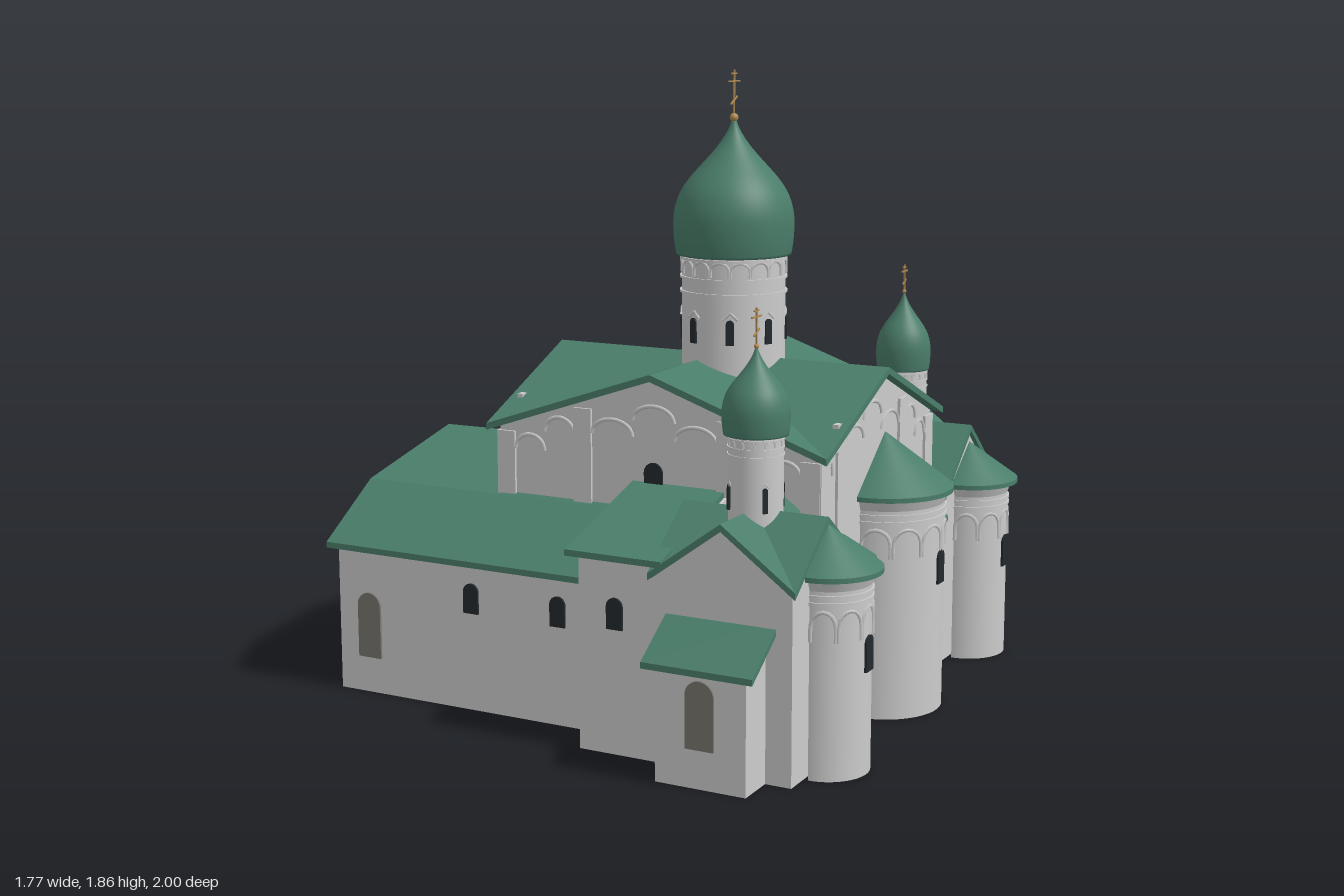
import * as THREE from 'three';

const wallMat = new THREE.MeshStandardMaterial({ color: 0xcccccc, side: THREE.DoubleSide });
const paint = (color) => new THREE.MeshStandardMaterial({ color, side: THREE.DoubleSide });
const roofMat = paint(0x4a7d6a), darkMat = paint(0x22292d), doorMat = paint(0x77746c), goldMat = paint(0xb08a50);

const V = (x, y, z) => new THREE.Vector3(x, y, z);

function add(parent, name, geo, mat = wallMat, x = 0, y = 0, z = 0) {
  const m = new THREE.Mesh(geo, mat);
  m.name = name;
  m.position.set(x, y, z);
  parent.add(m);
  return m;
}

function box(parent, name, x0, x1, y0, y1, z0, z1, mat) {
  return add(parent, name, new THREE.BoxGeometry(x1 - x0, y1 - y0, z1 - z0), mat,
    (x0 + x1) / 2, (y0 + y1) / 2, (z0 + z1) / 2);
}

// Outline given as [z, y] points, run along x from x0 to x1
function profile(parent, name, pts, x0, x1, mat) {
  const shape = new THREE.Shape(pts.map(p => new THREE.Vector2(...p)));
  const geo = new THREE.ExtrudeGeometry(shape, { depth: x1 - x0, bevelEnabled: false });
  geo.rotateY(-Math.PI / 2).translate(x1, 0, 0);
  return add(parent, name, geo, mat);
}

// Thin roof following a [z, y] line
const roofStrip = (g, name, line, x0, x1, t = 0.018) =>
  profile(g, name, [...line, ...line.map(([z, y]) => [z, y - t]).reverse()], x0, x1, roofMat);

// Wall body under a [z, y] line
const wallBody = (g, name, line, x0, x1) =>
  profile(g, name, [[line[0][0], 0], ...line, [line[line.length - 1][0], 0]], x0, x1, wallMat);

// Four gables meeting in the middle; bottom(y) gives the height of the underside
function crossGable(parent, name, cx, cz, hx, hz, eave, ridge, bottom, mat) {
  const ring = [[1, 0], [1, -1], [0, -1], [-1, -1], [-1, 0], [-1, 1], [0, 1], [1, 1]]
    .map(([a, b]) => V(cx + a * hx, a && b ? eave : ridge, cz + b * hz));
  const under = p => V(p.x, bottom(p.y), p.z);
  const top = V(cx, ridge, cz), tris = [];
  ring.forEach((a, i) => {
    const b = ring[(i + 1) % 8], la = under(a), lb = under(b);
    tris.push(top, a, b, under(top), lb, la, a, la, lb, a, lb, b);
  });
  const geo = new THREE.BufferGeometry().setFromPoints(tris);
  geo.computeVertexNormals();
  return add(parent, name, geo, mat);
}

// Arched panel for windows and doors, facing +z before turning by rot
function arch(parent, name, w, h, x, y, z, rot = 0, mat = darkMat) {
  const s = new THREE.Shape();
  s.moveTo(-w / 2, 0);
  s.lineTo(w / 2, 0);
  s.lineTo(w / 2, h - w / 2);
  s.absarc(0, h - w / 2, w / 2, 0, Math.PI);
  const geo = new THREE.ExtrudeGeometry(s, { depth: 0.01, bevelEnabled: false, curveSegments: 8 });
  add(parent, name, geo.translate(0, 0, -0.005), mat, x, y, z).rotation.y = rot;
}

function tube(parent, name, pts, r, mat = wallMat) {
  add(parent, name, new THREE.TubeGeometry(new THREE.CatmullRomCurve3(pts), 14, r, 4), mat);
}

// Row of raised arches wrapped round a cylinder, from angle 0 (+z) through span
function arcade(parent, cx, cz, r, y, h, leg, n, span, bead) {
  for (let i = 0; i < n; i++) {
    const w = span / n, pts = [];
    for (let k = 0; k <= 8; k++) {
      const a = Math.PI * k / 8, t = (i + 0.5) * w - Math.cos(a) * w * 0.46;
      pts.push(V(cx + Math.sin(t) * r, y + Math.sin(a) * h, cz + Math.cos(t) * r));
    }
    pts.unshift(pts[0].clone().setY(y - leg));
    pts.push(pts[9].clone().setY(y - leg));
    tube(parent, 'arcadeArch', pts, bead);
  }
}

// Half-round apse with a conical roof
function apse(parent, name, cx, cz, r, h, rise, over, arches, winY) {
  const g = new THREE.Group();
  g.name = name;
  parent.add(g);
  const half = (rt, rb, hh) => new THREE.CylinderGeometry(rt, rb, hh, 32, 1, false, 0, Math.PI);
  add(g, 'apseWall', half(r, r, h), wallMat, cx, h / 2, cz);
  add(g, 'apseCornice', half(r + 0.012, r, 0.03), wallMat, cx, h - 0.015, cz);
  add(g, 'apseEave', half(r + over, r + over, 0.014), roofMat, cx, h + 0.007, cz);
  add(g, 'apseRoof', half(0.001, r + over, rise), roofMat, cx, h + 0.014 + rise / 2, cz);
  for (const y of [h - 0.045, h - 0.065])
    add(g, 'apseBand', half(r + 0.005, r + 0.005, 0.009), wallMat, cx, y, cz);
  if (arches) arcade(g, cx, cz, r, h - 0.13, 0.045, 0.04, arches, Math.PI, 0.006);
  arch(g, 'apseWindow', 0.045, 0.1, cx + r, winY, cz, Math.PI / 2);
}

// Drum, onion dome and cross
function cupola(parent, name, cx, cz, r, y0, y1, R, H, crossH, windows, winY, winH) {
  const g = new THREE.Group();
  g.name = name;
  g.position.set(cx, 0, cz);
  parent.add(g);
  add(g, 'drum', new THREE.CylinderGeometry(r, r, y1 - y0, 40), wallMat, 0, (y0 + y1) / 2, 0);
  for (const d of [0.008, 0.42 * r, 0.7 * r])
    add(g, 'drumBand', new THREE.CylinderGeometry(r * 1.04, r * 1.04, 0.05 * r, 40), wallMat, 0, y1 - d, 0);
  arcade(g, 0, 0, r * 1.01, y1 - 0.24 * r, 0.16 * r, 0.12 * r, 16, Math.PI * 2, 0.028 * r);
  for (let i = 0; i < windows; i++) {
    const a = (i + 0.5) * Math.PI * 2 / windows, s = Math.sin(a), c = Math.cos(a);
    arch(g, 'drumWindow', 0.13 * r + 0.004, winH, s * r, winY, c * r, a);
    const u = 0.15 * r, top = winY + winH;
    const at = (d, y) => V(s * r + c * d, y, c * r - s * d);
    for (const e of [-1, 1]) tube(g, 'windowHood', [at(e * u, top), at(0, top + u * 0.9)], 0.03 * r);
  }
  const outline = [[0, 0], [0.95, 0], [0.985, 0.1], [1, 0.24], [0.97, 0.35], [0.88, 0.46], [0.73, 0.56],
    [0.53, 0.66], [0.33, 0.76], [0.18, 0.85], [0.08, 0.93], [0.025, 1]];
  const curve = new THREE.SplineCurve(outline.slice(1).map(([a, b]) => new THREE.Vector2(a * R, b * H)));
  add(g, 'onionDome', new THREE.LatheGeometry([new THREE.Vector2(0, 0), ...curve.getPoints(36)], 48), roofMat, 0, y1, 0);
  const tip = y1 + H;
  add(g, 'finialBall', new THREE.SphereGeometry(0.065 * R + 0.001, 16, 12), goldMat, 0, tip, 0);
  const w = 0.0045;
  box(g, 'crossPost', -w / 2, w / 2, tip, tip + crossH, -w / 2, w / 2, goldMat);
  [[0.92, 0.13, 0], [0.76, 0.27, 0], [0.36, 0.17, 0.5]].forEach(([f, l, tilt]) => {
    const bar = add(g, 'crossBar', new THREE.BoxGeometry(w, w, 2 * l * crossH), goldMat, 0, tip + f * crossH, 0);
    bar.rotation.x = tilt;
  });
}

// Cross-gabled block: walls and overhanging roof
function gabledBlock(g, name, cx, cz, hx, hz, eave, ridge, base) {
  const s = 0.94, t = 0.02;
  crossGable(g, name + 'Walls', cx, cz, hx * s, hz * s, ridge - (ridge - eave) * s - t, ridge - t, () => base, wallMat);
  crossGable(g, name + 'Roof', cx, cz, hx, hz, eave, ridge, y => y - t, roofMat);
}

// Pilasters and blind arches on one nave face, local x along the face
function naveFace(parent, rot, halfW, dist, inner) {
  const g = new THREE.Group();
  g.name = 'naveFace';
  g.position.set(0.1, 0, 0.07);
  g.rotation.y = rot;
  parent.add(g);
  const edges = [-halfW + 0.025, ...inner, halfW - 0.025];
  edges.forEach((u, i) => box(g, 'pilaster', u - 0.03, u + 0.03, 0, i % 3 ? 0.89 : 0.8, dist - 0.01, dist + 0.008));
  for (let b = 0; b < 3; b++) {
    const l = edges[b] + 0.03, w = edges[b + 1] - 0.03 - l, n = b === 1 ? 3 : 2;
    for (let i = 0; i < n; i++) {
      const pts = [], y = b === 1 ? (i === 1 ? 0.87 : 0.82) : (i === (b ? 0 : 1) ? 0.81 : 0.75);
      for (let k = 0; k <= 8; k++) {
        const a = Math.PI * k / 8;
        pts.push(V(l + w * (i + 0.5 - 0.5 * Math.cos(a)) / n, y + 0.045 * Math.sin(a), dist + 0.002));
      }
      tube(g, 'blindArch', pts, 0.006);
    }
  }
}

export function createModel() {
  const g = new THREE.Group();
  g.name = 'church';

  // Nave: hollow walls, cross-gabled top
  const rect = (C, x0, x1, z0, z1) => new C([[x0, -z1], [x1, -z1], [x1, -z0], [x0, -z0]].map(p => new THREE.Vector2(...p)));
  const plan = rect(THREE.Shape, -0.42, 0.62, -0.343, 0.483);
  plan.holes.push(rect(THREE.Path, -0.37, 0.46, -0.25, 0.39));
  add(g, 'naveWalls', new THREE.ExtrudeGeometry(plan, { depth: 0.65, bevelEnabled: false }).rotateX(-Math.PI / 2));
  gabledBlock(g, 'nave', 0.1, 0.07, 0.555, 0.44, 0.82, 1.01, 0.6);
  naveFace(g, 0, 0.522, 0.414, [-0.235, 0.235]);
  naveFace(g, Math.PI, 0.522, 0.414, [-0.235, 0.235]);
  naveFace(g, Math.PI / 2, 0.414, 0.522, [-0.275, 0.18]);
  naveFace(g, -Math.PI / 2, 0.414, 0.522, [-0.18, 0.275]);
  arch(g, 'naveWindow', 0.06, 0.1, 0.1, 0.65, 0.485);
  arch(g, 'naveWindow', 0.06, 0.08, 0.1, 0.68, -0.345, Math.PI);

  // West hall and south aisle
  wallBody(g, 'westHallWalls', [[-0.34, 0.59], [0.07, 0.685], [0.49, 0.59], [0.71, 0.445]], -0.86, -0.42);
  roofStrip(g, 'westHallRoof', [[-0.36, 0.6], [0.07, 0.7], [0.5, 0.605], [0.73, 0.455]], -0.89, -0.42);
  wallBody(g, 'southAisleWalls', [[0.47, 0.59], [0.49, 0.59], [0.71, 0.445]], -0.43, 0.07);
  roofStrip(g, 'southAisleRoof', [[0.47, 0.62], [0.5, 0.605], [0.73, 0.455]], -0.42, 0.06);
  arch(g, 'westDoor', 0.08, 0.2, -0.862, 0.11, 0.1, -Math.PI / 2, doorMat);
  arch(g, 'aisleDoor', 0.08, 0.2, -0.75, 0.11, 0.712, 0, doorMat);
  for (const x of [-0.385, -0.09]) arch(g, 'aisleWindow', 0.05, 0.09, x, 0.295, 0.712);

  // South annex, chapel and porch
  wallBody(g, 'southAnnexWalls', [[0.47, 0.68], [0.845, 0.56]], 0.06, 0.34);
  roofStrip(g, 'southAnnexRoof', [[0.47, 0.695], [0.87, 0.575]], 0.03, 0.33);
  arch(g, 'annexWindow', 0.05, 0.09, 0.175, 0.36, 0.847);
  gabledBlock(g, 'southChapel', 0.51, 0.66, 0.22, 0.21, 0.54, 0.7, 0);
  wallBody(g, 'southPorchWalls', [[0.8, 0.45], [0.84, 0.43], [0.975, 0.33]], 0.37, 0.64);
  roofStrip(g, 'southPorchRoof', [[0.83, 0.45], [1, 0.335]], 0.34, 0.67);
  arch(g, 'southPorchDoor', 0.085, 0.19, 0.505, 0.11, 0.977, 0, doorMat);

  // North wings, chapel and porch
  wallBody(g, 'northWingWalls', [[-0.76, 0.52], [-0.33, 0.65]], -0.17, 0.3);
  roofStrip(g, 'northWingRoof', [[-0.78, 0.53], [-0.33, 0.67]], -0.19, 0.26);
  wallBody(g, 'northwestWingWalls', [[-0.72, 0.41], [-0.33, 0.55]], -0.57, -0.17);
  roofStrip(g, 'northwestWingRoof', [[-0.74, 0.42], [-0.33, 0.57]], -0.59, -0.17);
  box(g, 'northLink', 0.25, 0.62, 0, 0.54, -0.42, -0.33);
  gabledBlock(g, 'northChapel', 0.445, -0.56, 0.235, 0.215, 0.55, 0.73, 0);
  wallBody(g, 'northPorchWalls', [[-0.97, 0.32], [-0.76, 0.46], [-0.73, 0.46]], 0.32, 0.57);
  roofStrip(g, 'northPorchRoof', [[-1, 0.325], [-0.92, 0.385]], 0.315, 0.575);
  roofStrip(g, 'northPorchUpperRoof', [[-0.92, 0.39], [-0.75, 0.505]], 0.295, 0.595);
  arch(g, 'northPorchDoor', 0.085, 0.18, 0.445, 0.1, -0.972, Math.PI, doorMat);
  arch(g, 'northDoor', 0.08, 0.24, 0.12, 0.11, -0.762, Math.PI, doorMat);
  arch(g, 'northWindow', 0.05, 0.09, -0.06, 0.33, -0.762, Math.PI);
  for (const x of [-0.44, -0.27]) arch(g, 'northwestWindow', 0.05, 0.09, x, 0.29, -0.722, Math.PI);

  // Apses along the east side
  apse(g, 'mainApse', 0.645, 0.07, 0.178, 0.65, 0.155, 0.025, 6, 0.385);
  apse(g, 'southApse', 0.73, 0.66, 0.12, 0.555, 0.11, 0.03, 5, 0.29);
  apse(g, 'northApse', 0.68, -0.545, 0.124, 0.555, 0.11, 0.03, 5, 0.29);
  for (const z of [0.355, -0.2]) apse(g, 'smallApse', 0.64, z, 0.076, 0.495, 0.065, 0.02, 0, 0.23);
  box(g, 'eastWall', 0.6, 0.66, 0, 0.5, -0.3, 0.45);

  // Domes
  cupola(g, 'mainCupola', 0.148, 0.07, 0.155, 0.95, 1.315, 0.181, 0.405, 0.14, 8, 1.06, 0.075);
  cupola(g, 'southCupola', 0.51, 0.655, 0.076, 0.6, 0.905, 0.094, 0.24, 0.105, 4, 0.7, 0.07);
  cupola(g, 'northCupola', 0.445, -0.555, 0.076, 0.6, 0.895, 0.087, 0.25, 0.085, 4, 0.7, 0.07);

  return g;
}
